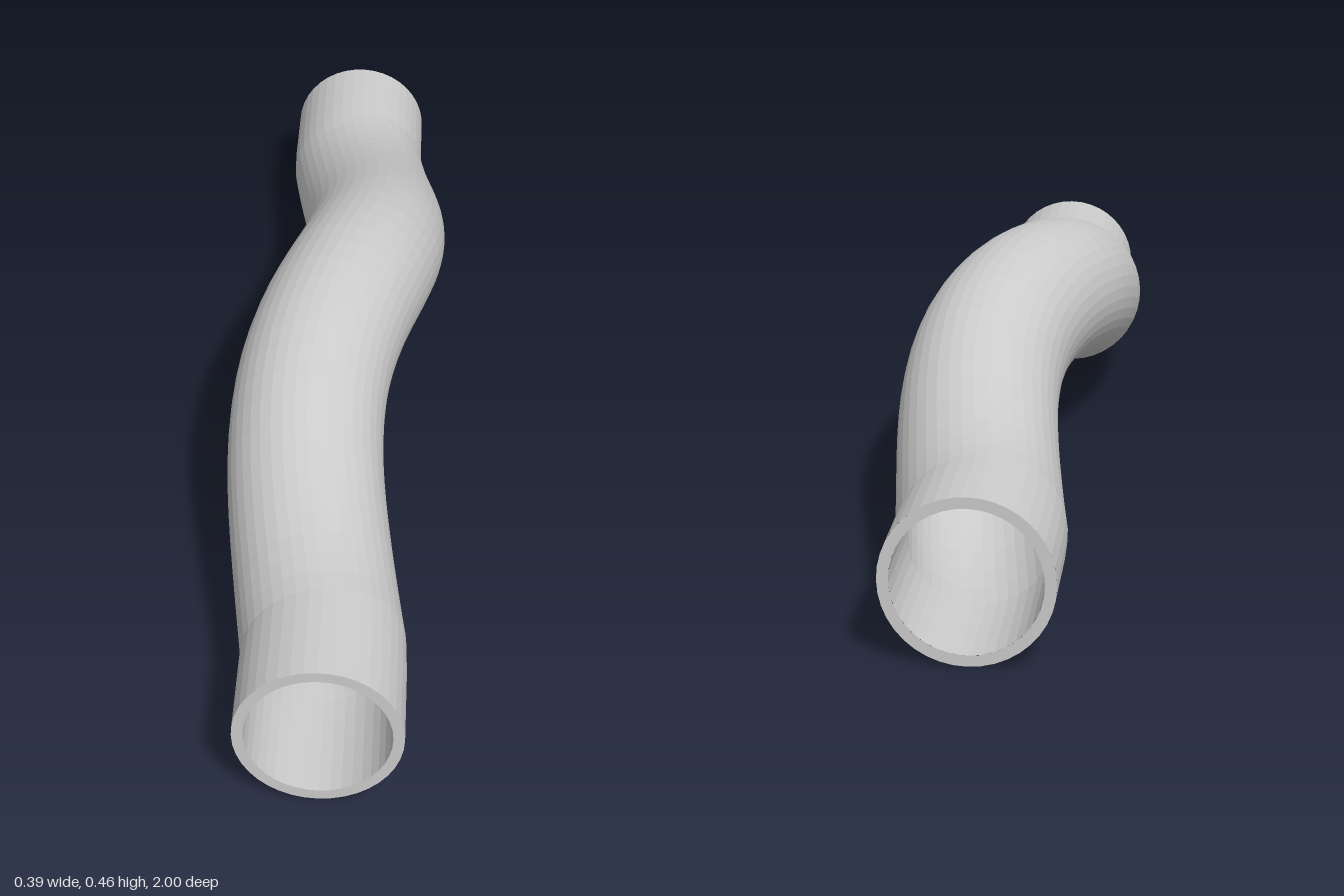
import * as THREE from 'three';

const OUTER = 0.142, INNER = 0.123, LIFT = 0.176, SWAY = 0.052, BEND = 0.8;
const SEGMENTS = 40, SIDES = 40;

// Centre line: straight ends, a hump in the middle and an S-bend sideways
class PipePath extends THREE.Curve {
  getPoint(t, target = new THREE.Vector3()) {
    const z = 1 - 2 * t;
    const a = Math.PI * THREE.MathUtils.clamp(z / BEND, -1, 1);
    const x = -SWAY * (Math.sin(a) + 0.15 * Math.sin(2 * a));
    const y = OUTER + LIFT * (1 + Math.cos(a)) / 2;
    return target.set(x, y, z);
  }
}

export function createModel() {
  const group = new THREE.Group();
  group.name = 'bentPipe';
  const material = new THREE.MeshStandardMaterial({ color: 0xcccccc, flatShading: true });
  const add = (name, geometry) => {
    const mesh = new THREE.Mesh(geometry, material);
    mesh.name = name;
    group.add(mesh);
    return mesh;
  };

  // Outer and inner walls
  const path = new PipePath();
  add('outerWall', new THREE.TubeGeometry(path, SEGMENTS, OUTER, SIDES));
  const bore = new THREE.TubeGeometry(path, SEGMENTS, INNER, SIDES);
  bore.index.array.reverse(); // faces look into the bore
  add('innerWall', bore);

  // Flat rims closing the wall at both ends
  for (const side of [1, -1]) {
    const rim = add(side > 0 ? 'frontRim' : 'backRim', new THREE.RingGeometry(INNER, OUTER, SIDES));
    rim.position.set(0, OUTER, side);
    if (side < 0) rim.rotation.y = Math.PI;
  }
  return group;
}
